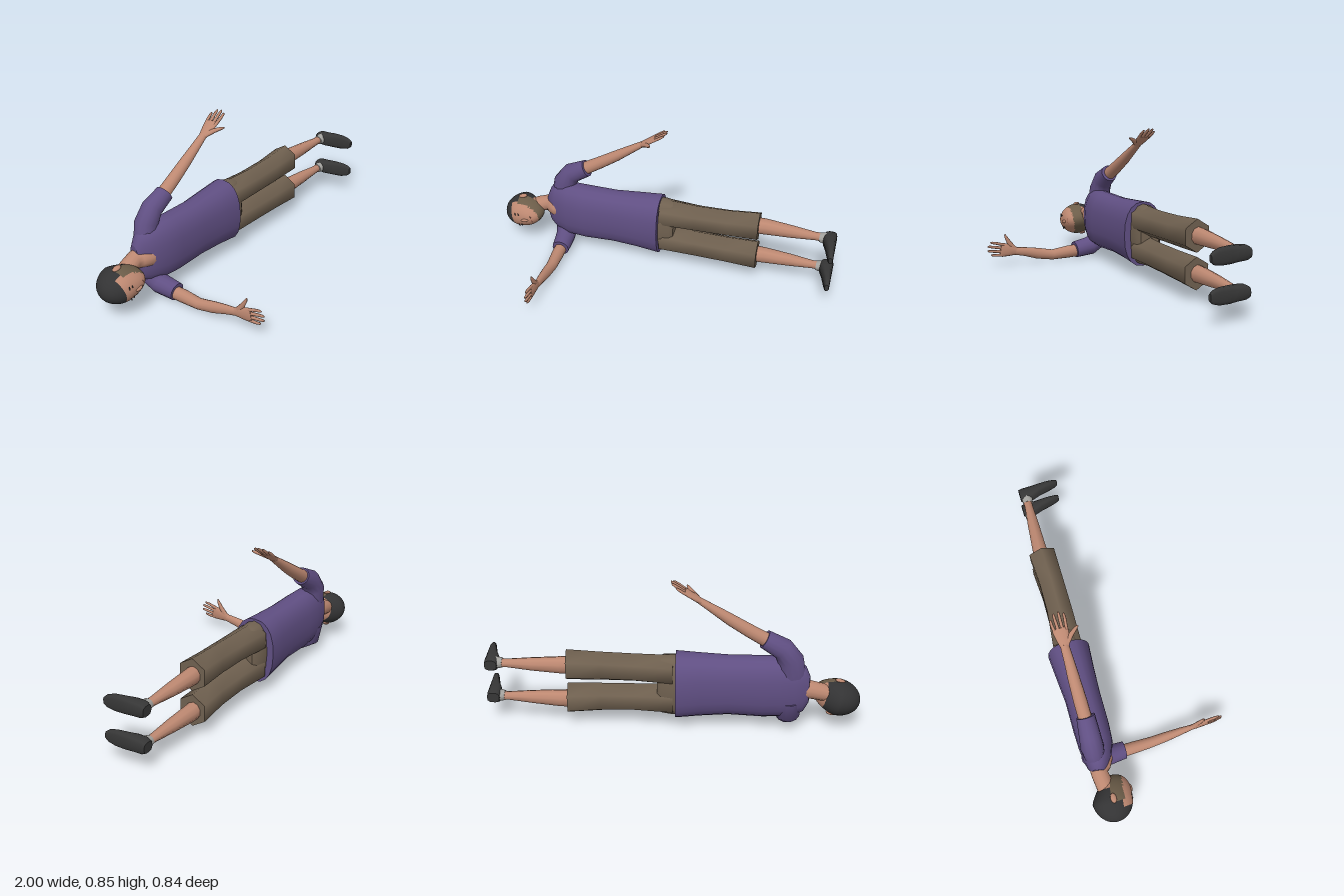
import * as THREE from 'three';

const material = (name, color) => {
  const m = new THREE.MeshStandardMaterial({ color });
  m.name = name;
  return m;
};
const V = (x, y, z) => new THREE.Vector3(x, y, z);

// Smooth skin over elliptical rings. Each row is [x, y, z, radius along u, other radius].
function loft(rows, u, sides = 14, power = 1) {
  const pos = [], idx = [];
  const centres = rows.map(r => V(r[0], r[1], r[2]));
  const bend = n => Math.sign(n) * Math.pow(Math.abs(n), power);
  const rings = rows.map((r, j) => {
    const t = centres[Math.min(j + 1, rows.length - 1)].clone().sub(centres[Math.max(j - 1, 0)]).normalize();
    const v = t.cross(u).normalize();
    return Array.from({ length: sides }, (_, i) => {
      const a = i / sides * Math.PI * 2;
      return centres[j].clone()
        .addScaledVector(u, bend(Math.cos(a)) * r[3])
        .addScaledVector(v, bend(Math.sin(a)) * r[4]);
    });
  });
  const add = p => pos.push(p.x, p.y, p.z) / 3 - 1;
  rings.forEach(ring => ring.forEach(add));
  for (let j = 0; j < rows.length - 1; j++) {
    for (let i = 0; i < sides; i++) {
      const a = j * sides + i, b = j * sides + (i + 1) % sides;
      idx.push(a, b, a + sides, b, b + sides, a + sides);
    }
  }
  // End caps with their own corners, so the rims stay sharp
  for (const end of [0, rows.length - 1]) {
    const c = add(centres[end]);
    rings[end].forEach(add);
    for (let i = 0; i < sides; i++) {
      const a = c + 1 + i, b = c + 1 + (i + 1) % sides;
      if (end) idx.push(c, a, b); else idx.push(c, b, a);
    }
  }
  const g = new THREE.BufferGeometry();
  g.setAttribute('position', new THREE.Float32BufferAttribute(pos, 3));
  g.setIndex(idx);
  g.computeVertexNormals();
  return g;
}

export function createModel() {
  const skin = material('skin', 0xbd8871);
  const purple = material('purple cloth', 0x604f83);
  const brown = material('brown cloth', 0x706150);
  const beard = material('beard', 0x6c5d49);
  const dark = material('hair', 0x333334);
  const shoeGrey = material('shoe grey', 0x363636);
  const sockGrey = material('sock grey', 0xa3a29e);
  const lip = material('lips', 0x94594c);

  const X = V(1, 0, 0), Y = V(0, 1, 0), Z = V(0, 0, 1);
  const model = new THREE.Group();
  model.name = 'lyingPerson';
  const put = (name, geometry, mat, parent = model) => {
    const m = new THREE.Mesh(geometry, mat);
    m.name = name;
    parent.add(m);
    return m;
  };

  // Shirt
  put('shirtBody', loft([
    [-0.725, 0.25, -0.34, 0.075, 0.035], [-0.70, 0.25, -0.335, 0.13, 0.055],
    [-0.66, 0.25, -0.325, 0.155, 0.075], [-0.58, 0.25, -0.31, 0.172, 0.095],
    [-0.48, 0.247, -0.305, 0.173, 0.10], [-0.30, 0.25, -0.30, 0.168, 0.10],
    [-0.15, 0.25, -0.30, 0.177, 0.11], [-0.02, 0.2475, -0.298, 0.188, 0.12],
  ], Y, 20, 0.85), purple);
  put('leftSleeve', loft([
    [-0.63, 0.33, -0.335, 0.06, 0.075], [-0.62, 0.42, -0.338, 0.063, 0.068],
    [-0.575, 0.485, -0.335, 0.058, 0.06], [-0.48, 0.537, -0.328, 0.05, 0.05],
  ], Z), purple);
  put('rightSleeve', loft([
    [-0.62, 0.19, -0.335, 0.065, 0.07], [-0.62, 0.105, -0.325, 0.065, 0.066],
    [-0.615, 0.065, -0.265, 0.058, 0.057], [-0.61, 0.051, -0.155, 0.05, 0.05],
  ], X), purple);

  // Arms
  put('leftArm', loft([
    [-0.54, 0.503, -0.333, 0.037, 0.04], [-0.40, 0.585, -0.333, 0.036, 0.035],
    [-0.30, 0.647, -0.333, 0.032, 0.031], [-0.22, 0.70, -0.332, 0.027, 0.024],
    [-0.14, 0.752, -0.332, 0.023, 0.016],
  ], Z), skin);
  put('rightArm', loft([
    [-0.612, 0.046, -0.22, 0.036, 0.038], [-0.611, 0.042, -0.10, 0.035, 0.037],
    [-0.61, 0.036, 0, 0.031, 0.031], [-0.609, 0.055, 0.10, 0.027, 0.033],
    [-0.608, 0.074, 0.18, 0.021, 0.027], [-0.607, 0.086, 0.25, 0.014, 0.023],
  ], X), skin);

  // Hands: d points to the fingertips, s to the thumb side
  const hand = (name, origin, d, s) => {
    const group = new THREE.Group();
    group.name = name;
    model.add(group);
    const row = (along, side, ra, rb) =>
      [...origin.clone().addScaledVector(d, along).addScaledVector(s, side).toArray(), ra, rb];
    put('palm', loft([
      row(-0.01, 0, 0.022, 0.014), row(0.03, 0.002, 0.034, 0.015),
      row(0.08, 0, 0.042, 0.013), row(0.1, 0, 0.04, 0.009),
    ], s, 12), skin, group);
    [[0.031, 0.038, 0.17], [0.011, 0.013, 0.184], [-0.01, -0.013, 0.18], [-0.03, -0.036, 0.153]]
      .forEach(([base, tip, length], i) => put('finger' + (i + 1), loft([
        row(0.08, base, 0.0095, 0.009), row(length - 0.03, tip, 0.008, 0.008),
        row(length - 0.008, tip, 0.007, 0.006), row(length, tip, 0.003, 0.003),
      ], s, 8), skin, group));
    const across = s.clone().multiplyScalar(0.6).addScaledVector(d, -0.8);
    put('thumb', loft([
      row(0.012, 0.01, 0.019, 0.013), row(0.05, 0.047, 0.014, 0.011),
      row(0.077, 0.08, 0.009, 0.008), row(0.086, 0.094, 0.004, 0.004),
    ], across, 8), skin, group);
  };
  hand('leftHand', V(-0.148, 0.747, -0.332), V(0.826, 0.564, 0).normalize(), Z);
  hand('rightHand', V(-0.607, 0.086, 0.245), V(0, 0.17, 0.985).normalize(), V(0, 0.985, -0.17).normalize());

  // Trousers
  put('hips', loft([
    [-0.08, 0.2475, -0.298, 0.172, 0.08], [0, 0.2475, -0.298, 0.176, 0.082],
    [0.05, 0.2475, -0.293, 0.172, 0.074], [0.072, 0.2475, -0.29, 0.16, 0.055],
  ], Y, 16, 0.85), brown);

  // Legs, each side of the middle line
  for (const [side, k] of [['left', 1], ['right', -1]]) {
    const y = off => 0.2475 + k * off;
    put(side + 'TrouserLeg', loft([
      [-0.01, y(0.087), -0.299, 0.087, 0.091], [0.20, y(0.090), -0.283, 0.082, 0.080],
      [0.38, y(0.094), -0.279, 0.084, 0.078], [0.56, y(0.101), -0.282, 0.090, 0.084],
    ], Y, 6), brown);
    put(side + 'Shin', loft([
      [0.50, y(0.101), -0.288, 0.05, 0.044], [0.60, y(0.101), -0.288, 0.047, 0.042],
      [0.75, y(0.100), -0.280, 0.036, 0.034], [0.88, y(0.100), -0.273, 0.023, 0.024],
      [0.94, y(0.100), -0.272, 0.024, 0.026],
    ], Y, 10), skin);
    put(side + 'Sock', loft([
      [0.905, y(0.1), -0.270, 0.026, 0.029], [0.94, y(0.1), -0.268, 0.034, 0.034],
    ], Y, 10), sockGrey);
    // Shoe runs from heel to toe with a flat sole at x = 1
    put(side + 'Shoe', loft([
      [0.965, y(0.098), -0.305, 0.033, 0.028], [0.9625, y(0.098), -0.285, 0.0375, 0.039],
      [0.963, y(0.098), -0.235, 0.037, 0.042], [0.972, y(0.098), -0.19, 0.028, 0.045],
      [0.980, y(0.097), -0.13, 0.020, 0.044], [0.985, y(0.095), -0.09, 0.015, 0.034],
      [0.987, y(0.094), -0.072, 0.011, 0.019],
    ], X, 14, 0.7), shoeGrey);
  }

  // Neck, showing in the open collar
  put('neck', loft([
    [-0.63, 0.25, -0.315, 0.05, 0.065], [-0.665, 0.25, -0.31, 0.062, 0.070],
    [-0.70, 0.25, -0.325, 0.057, 0.060], [-0.735, 0.246, -0.335, 0.049, 0.047],
    [-0.80, 0.228, -0.327, 0.047, 0.048], [-0.86, 0.205, -0.32, 0.045, 0.046],
  ], Y), skin);

  // Head: local y is the crown, local z the face
  const head = new THREE.Group();
  head.name = 'head';
  head.position.set(-0.8765, 0.19, -0.308);
  head.rotation.set(0, -0.12, 1.79, 'ZYX');
  model.add(head);

  // Skull: a sphere with a narrowed jaw and nape, painted by region
  const unit = new THREE.SphereGeometry(1, 36, 28);
  const shape = unit.clone();
  const p = shape.attributes.position;
  for (let i = 0; i < p.count; i++) {
    const x = p.getX(i), y = p.getY(i), z = p.getZ(i), low = Math.max(0, -y);
    const depth = z < 0 ? 1 - 0.5 * low : 1 + 0.18 * low;
    p.setXYZ(i, x * 0.096 * (1 - 0.2 * low), y * 0.125, z * 0.112 * depth + 0.022 * low * low);
  }
  shape.computeVertexNormals();
  const skull = shape.toNonIndexed();
  const flat = unit.toNonIndexed().attributes.position;
  const c = V(0, 0, 0), q = V(0, 0, 0);
  for (let i = 0; i < flat.count; i += 3) {
    c.set(0, 0, 0);
    for (let k = 0; k < 3; k++) c.add(q.fromBufferAttribute(flat, i + k));
    c.divideScalar(3);
    const isHair = c.y > 0.46 || (c.z < 0.3 && c.y > 0.1) || (c.z < -0.15 && c.y > -0.5);
    const isBeard = c.y < 0.1 && c.z > -0.15 && c.z < 0.5;
    skull.addGroup(i, 3, isHair ? 1 : isBeard ? 2 : 0);
  }
  put('skull', skull, [skin, dark, beard]);
  head.add(model.getObjectByName('skull'));

  // Face details
  const blob = (name, mat, at, size, tilt = 0) => {
    const m = put(name, new THREE.SphereGeometry(1, 12, 8), mat, head);
    m.position.set(...at);
    m.scale.set(...size);
    m.rotation.z = tilt;
  };
  blob('nose', skin, [0, -0.028, 0.112], [0.011, 0.024, 0.012]);
  blob('mouth', lip, [0, -0.068, 0.105], [0.022, 0.005, 0.004]);
  for (const s of [1, -1]) {
    blob('eye', dark, [s * 0.036, 0.006, 0.103], [0.011, 0.004, 0.004]);
    blob('eyebrow', dark, [s * 0.037, 0.026, 0.101], [0.015, 0.003, 0.004], -s * 0.1);
    blob('ear', skin, [s * 0.095, -0.008, -0.008], [0.01, 0.027, 0.017]);
  }
  return model;
}
